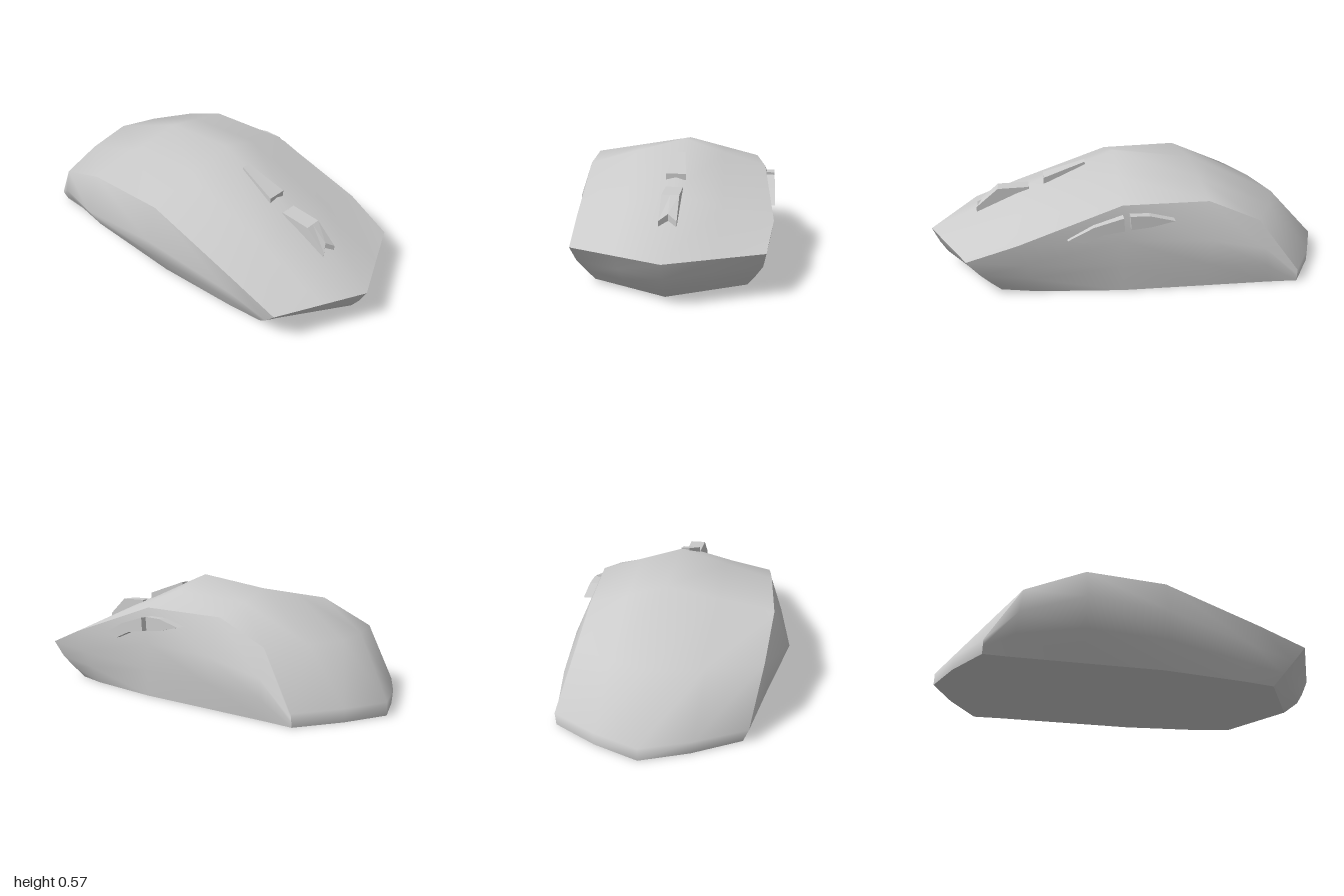
import * as THREE from 'three';

const grey = new THREE.MeshStandardMaterial({ color: 0xcccccc });
const greyFlat = new THREE.MeshStandardMaterial({ color: 0xcccccc, flatShading: true });
const cx = 0.065; // x of the ridge line

// Surface through rows of [x, y, z] points
function patch(rows, name, material = grey) {
  const n = rows[0].length, index = [];
  for (let i = 0; i < rows.length - 1; i++) {
    for (let j = 0; j < n - 1; j++) {
      const a = i * n + j, d = a + n;
      index.push(a, a + 1, d + 1, a, d + 1, d);
    }
  }
  const geo = new THREE.BufferGeometry();
  geo.setAttribute('position', new THREE.Float32BufferAttribute(rows.flat(2), 3));
  geo.setIndex(index);
  geo.computeVertexNormals();
  const mesh = new THREE.Mesh(geo, material);
  mesh.name = name;
  return mesh;
}

const lerp = (a, b, t) => a.map((v, i) => v + (b[i] - v) * t);

// Five points across: edges, ridge and midpoints, the latter pushed back by dz
const across = (l, c, r, dz = 0) => {
  const q = p => lerp(p, c, 0.5).map((v, i) => (i === 2 ? v + dz : v));
  return [l, q(l), c, q(r), r];
};

// Side wall points from the top edge down to the base, swollen by bulge in x
function wall(edge, [baseX, baseZ], bulge) {
  const base = [baseX, 0, baseZ];
  const swell = (t, k) => {
    const [x, y, z] = lerp(edge, base, t);
    return [x + bulge * k, y, z];
  };
  return [edge, swell(0.4, 1), swell(0.7, 0.65), base];
}

// Raised pad from [half width, y, z] rows, with walls sunk into the shell
function pad(sections, notch, drop, name) {
  const group = new THREE.Group();
  group.name = name;
  const rows = sections.map(([w, y, z], i) => {
    const k = i === 0 ? notch : 0;
    return [[cx - w, y, z], [cx, y + k, z - k], [cx + w, y, z]];
  });
  const low = ([x, y, z]) => [x, y - drop, z];
  const front = rows[0], back = rows[rows.length - 1];
  group.add(
    patch(rows.map(r => [low(r[0]), ...r, low(r[2])]), name + 'Top', greyFlat),
    patch([front.map(low), front], name + 'Front', greyFlat),
    patch([back, back.map(low)], name + 'Back', greyFlat)
  );
  return group;
}

// Thumb button: outline of [z, y] points extruded sideways
function thumbButton(points, name) {
  const shape = new THREE.Shape(points.map(([z, y]) => new THREE.Vector2(-z, y)));
  const geo = new THREE.ExtrudeGeometry(shape, { depth: 0.09, bevelEnabled: false });
  geo.rotateY(Math.PI / 2).translate(0.44, 0, 0);
  const mesh = new THREE.Mesh(geo, grey);
  mesh.name = name;
  return mesh;
}

// One station of the body: ridge height and depth, right wall, left wall
const station = (y, z, right, left) => ({ c: [cx, y, z], l: wall(...right), r: wall(...left) });

export function createModel() {
  const model = new THREE.Group();
  model.name = 'computerMouse';

  // Stations from nose to tail; walls are top edge, base [x, z] and bulge
  const stations = [
    station(0.19, 1, [[-0.36, 0.19, 0.8], [-0.28, 0.65], -0.016], [[0.49, 0.19, 0.8], [0.41, 0.65], 0.02]),
    station(0.385, 0.56, [[-0.38, 0.275, 0.56], [-0.31, 0.48], -0.02], [[0.522, 0.275, 0.56], [0.45, 0.48], 0.012]),
    station(0.57, 0.07, [[-0.415, 0.435, 0.07], [-0.36, 0.07], -0.08], [[0.482, 0.435, 0.07], [0.49, 0.07], 0.01]),
    station(0.52, -0.32, [[-0.455, 0.432, -0.33], [-0.36, -0.33], -0.118], [[0.44, 0.42, -0.35], [0.49, -0.33], 0.062]),
    station(0.31, -0.77, [[-0.437, 0.31, -0.62], [-0.36, -0.65], -0.05], [[0.44, 0.31, -0.6], [0.49, -0.65], 0.04]),
    station(0.06, -1, [[-0.39, 0.06, -0.78], [-0.365, -0.78], 0], [[0.5, 0.06, -0.79], [0.495, -0.79], 0])
  ];
  const first = stations[0], last = stations[stations.length - 1];

  // Top shell, rounded at the tail and running down to the base
  const tail = across(last.l[3], [cx, 0, -1], last.r[3], -0.02);
  const top = stations.map((s, i) => across(s.l[0], s.c, s.r[0], i > 3 ? -0.02 : 0));
  model.add(patch([...top, tail], 'topShell'));

  // Side walls
  model.add(patch(stations.map(s => [...s.l].reverse()), 'rightSide'));
  model.add(patch(stations.map(s => s.r), 'leftSide'));

  // Undercut nose
  const noseRidge = [[0.19, 1], [0.115, 0.965], [0.06, 0.93], [0, 0.85]];
  model.add(patch(noseRidge.map(([y, z], i) =>
    across(first.l[i], [cx, y, z], first.r[i])).reverse(), 'nose'));

  // Flat base
  const noseTip = [cx, 0, 0.85];
  model.add(patch([
    [noseTip, noseTip],
    ...stations.map(s => [s.r[3], s.l[3]]),
    [tail[3], tail[1]],
    [tail[2], tail[2]]
  ], 'base'));

  // Scroll wheel cover with a notched front
  model.add(pad([[0.04, 0.31, 0.765], [0.04, 0.402, 0.655], [0.04, 0.406, 0.5]],
    0.026, 0.07, 'scrollWheel'));

  // Tapered button behind the wheel
  model.add(pad([[0.047, 0.453, 0.425], [0.022, 0.522, 0.215]], 0, 0.03, 'centreButton'));

  // Thumb buttons
  model.add(thumbButton([[0.33, 0.29], [0.21, 0.35], [0.07, 0.39], [0.065, 0.325],
    [0.16, 0.312], [0.25, 0.275]], 'frontThumbButton'));
  model.add(thumbButton([[0.04, 0.397], [-0.05, 0.395], [-0.17, 0.365], [-0.06, 0.34],
    [0.035, 0.33]], 'backThumbButton'));

  return model;
}
